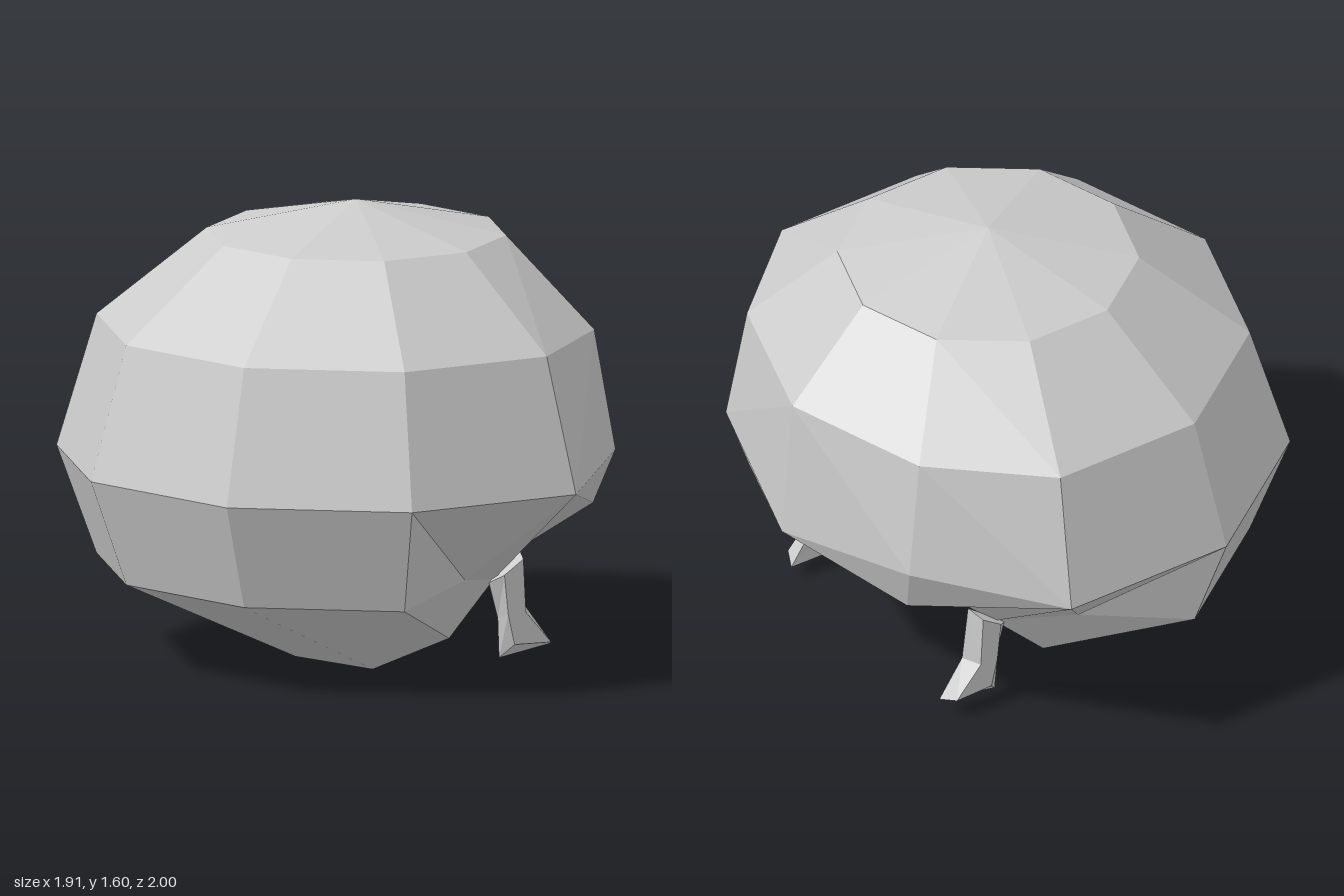
import * as THREE from 'three';

const material = new THREE.MeshStandardMaterial({ color: 0xcccccc, flatShading: true, side: THREE.DoubleSide });

// Fans each polygon into triangles turned away from its inner point.
function facetMesh(name, polygons) {
  const out = [];
  for (const { points, inner } of polygons) {
    for (let i = 1; i < points.length - 1; i++) {
      const [a, b, c] = [points[0], points[i], points[i + 1]];
      const normal = b.clone().sub(a).cross(c.clone().sub(a));
      const outward = a.clone().add(b).add(c).divideScalar(3).sub(inner);
      const order = normal.dot(outward) >= 0 ? [a, b, c] : [a, c, b];
      for (const p of order) out.push(p.x, p.y, p.z);
    }
  }
  const geometry = new THREE.BufferGeometry();
  geometry.setAttribute('position', new THREE.Float32BufferAttribute(out, 3));
  geometry.computeVertexNormals();
  const mesh = new THREE.Mesh(geometry, material);
  mesh.name = name;
  return mesh;
}

const v = (x, y, z) => new THREE.Vector3(x, y, z);

// Half of a ten-sided ring, from the open side (+x) round to the back (-x).
function halfRing(radius, y) {
  return Array.from({ length: 6 }, (_, k) => {
    const a = (k * Math.PI) / 5;
    return v(0.09 + radius * Math.cos(a), y, radius * Math.sin(a));
  });
}

// Both halves of a list of polygons, mirrored across z = 0.
function mirrored(list, inner) {
  return [1, -1].flatMap((s) => list.map((poly) => ({
    points: poly.map((p) => v(p.x, p.y, p.z * s)),
    inner,
  })));
}

export function createModel() {
  const group = new THREE.Group();
  group.name = 'facetedCap';
  const inner = v(0, 0.55, 0);

  // Rings of the dome, tucked in at the open side
  const crown = v(0.09, 1.6, 0);
  const upper = halfRing(0.525, 1.485);
  const middle = halfRing(0.91, 1.17);
  middle[0].x = 0.91;
  middle[1].x = 0.74;
  const widest = halfRing(1.05, 0.7);
  widest[0].set(0.955, 0.645, 0);
  widest[1].set(0.805, 0.745, 0.57);
  const lower = halfRing(0.91, 0.32);

  const dome = [];
  for (let k = 0; k < 5; k++) {
    dome.push([crown, upper[k], upper[k + 1]]);
    dome.push([upper[k], upper[k + 1], middle[k + 1], middle[k]]);
    dome.push([middle[k], middle[k + 1], widest[k + 1], widest[k]]);
    if (k > 2) dome.push([widest[k], widest[k + 1], lower[k + 1], lower[k]]);
  }

  // Rim of the opening and the nape
  const brow = v(0.76, 0.545, 0.49);
  const temple = v(0.48, 0.4, 0.455);
  const rim = v(0.38, 0.305, 0.465);
  const cheek = v(0.16, 0.36, 0.66);
  const jaw = v(0.19, 0.12, 0.49);
  const nape = v(-0.02, 0, 0.32);
  const napeBack = v(-0.15, 0, 0);
  dome.push(
    [widest[0], widest[1], brow],
    [widest[2], widest[1], brow, temple, rim, cheek, widest[3]],
    [widest[3], lower[3], cheek],
    [jaw, nape, lower[3], cheek, rim],
    [lower[3], lower[4], nape],
    [lower[4], napeBack, nape],
    [lower[4], lower[5], napeBack],
  );
  group.add(facetMesh('dome', mirrored(dome, inner)));

  // Hollow inside the opening: peaked roof, side walls, back wall and nape
  const peak = v(0.42, 0.9, 0);
  const corner = v(0.04, 0.39, 0.46);
  const back = v(-0.2, 0.265, 0);
  const base = v(-0.09, 0.12, 0);
  const napeFront = v(-0.02, 0, 0);
  const lining = [
    [widest[0], brow, peak],
    [peak, brow, temple, corner],
    [peak, corner, back],
    [corner, temple, rim, jaw],
    [corner, jaw, base, back],
    [base, jaw, nape, napeFront],
    [napeBack, nape, napeFront],
  ];
  group.add(facetMesh('lining', mirrored(lining, inner)));

  // Side locks: four-sided strips that flare forward at the tip
  const depths = [0.46, 0.525, 0.525, 0.485];
  const sections = [
    [[0.485, 0.4], [0.465, 0.38], [0.39, 0.33], [0.35, 0.3]],
    [[0.51, 0.195], [0.475, 0.19], [0.405, 0.19], [0.385, 0.17]],
    [[0.605, 0.055], [0.575, 0.075], [0.43, 0.08], [0.39, 0.03]],
  ].map((corners) => corners.map(([x, y], i) => v(x, y, depths[i])));
  for (const side of [1, -1]) {
    const faces = [];
    const place = (p) => v(p.x, p.y, p.z * side);
    for (let i = 0; i < 2; i++) {
      const a = sections[i].map(place);
      const b = sections[i + 1].map(place);
      const core = [...a, ...b].reduce((sum, p) => sum.add(p), v(0, 0, 0)).divideScalar(8);
      for (let j = 0; j < 4; j++) {
        const n = (j + 1) % 4;
        faces.push({ points: [a[j], a[n], b[n], b[j]], inner: core });
      }
      faces.push({ points: i ? b : a, inner: core });
    }
    group.add(facetMesh(side > 0 ? 'frontSideLock' : 'backSideLock', faces));
  }
  return group;
}
